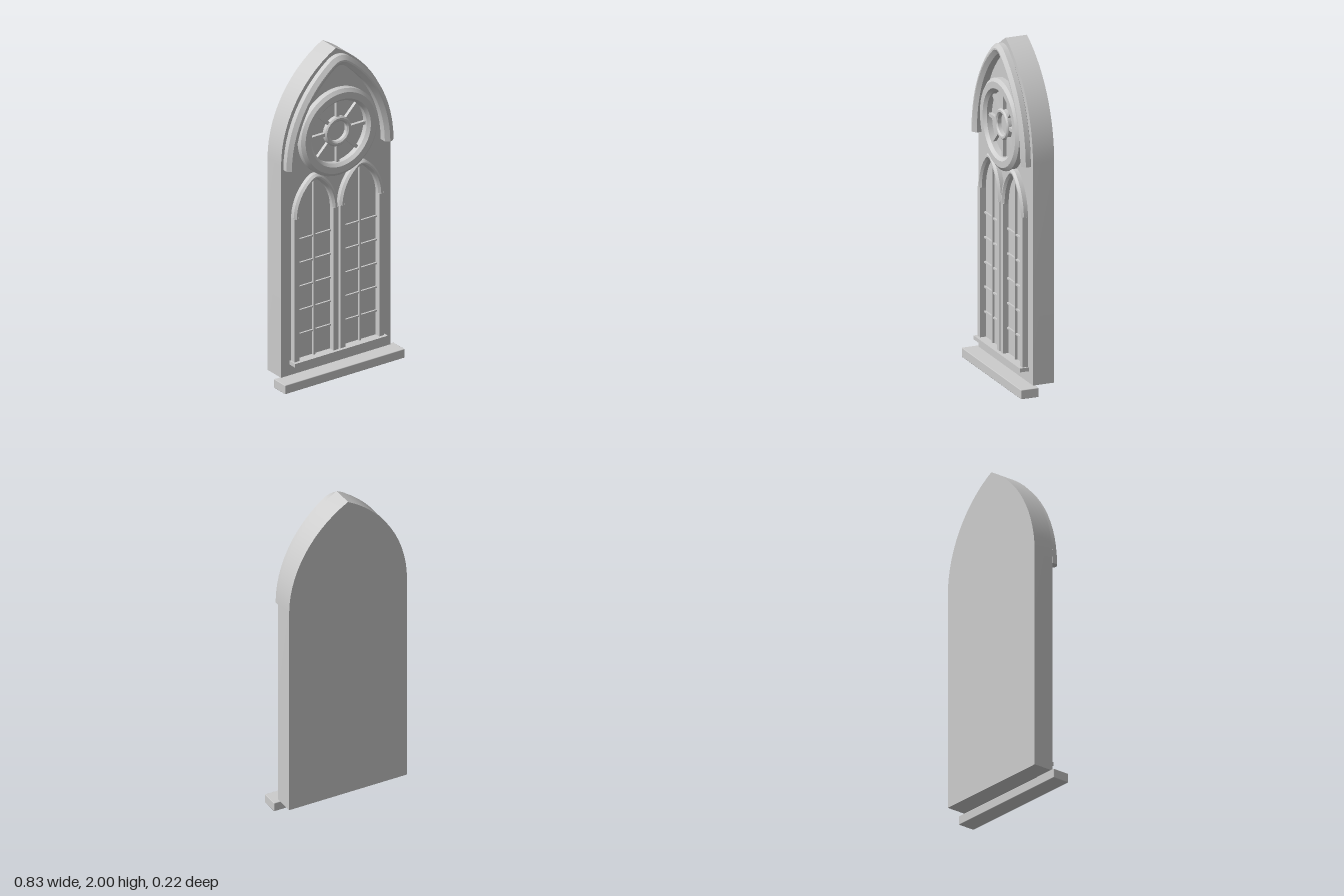
import * as THREE from 'three';
import { toCreasedNormals } from 'three/addons/utils/BufferGeometryUtils.js';
import { RoundedBoxGeometry } from 'three/addons/geometries/RoundedBoxGeometry.js';

const FACE = 0.02; // z of the wall's front face

// Points of a pointed arch from right foot over the crown to the left foot.
// The crown is rounded off where each arc has run the fraction f.
function archPath(cx, y0, half, rise, f, n = 12) {
  const R = (half * half + rise * rise) / (2 * half);
  const full = Math.asin(rise / R);
  const right = [];
  for (let i = 0; i <= n; i++) {
    const a = full * f * i / n;
    right.push([half - R + R * Math.cos(a), R * Math.sin(a)]);
  }
  const [ex, ey] = right[n];
  const crown = [];
  for (let i = 1; i < 6; i++) {
    const t = i / 6;
    crown.push([ex * (1 - 2 * t), ey + 2 * t * (1 - t) * (rise - ey)]);
  }
  const left = right.map(([x, y]) => [-x, y]).reverse();
  return [...right, ...crown, ...left].map(([x, y]) => new THREE.Vector2(cx + x, y0 + y));
}

// Sweep a closed profile of [outward offset, z] corners along a path in the xy plane
function sweep(path, profile) {
  const pos = [], idx = [], m = profile.length, n = path.length;
  path.forEach((p, i) => {
    const a = path[Math.max(i - 1, 0)], b = path[Math.min(i + 1, n - 1)];
    const t = b.clone().sub(a).normalize();
    if (i === 0 || i === n - 1) t.set(0, i === 0 ? 1 : -1);
    for (const [o, z] of profile) pos.push(p.x + t.y * o, p.y - t.x * o, z);
  });
  for (let i = 0; i < n - 1; i++) {
    for (let j = 0; j < m; j++) {
      const a = i * m + j, b = i * m + (j + 1) % m, c = b + m, d = a + m;
      idx.push(a, d, c, a, c, b);
    }
  }
  const e = (n - 1) * m;
  for (let j = 1; j < m - 1; j++) idx.push(0, j, j + 1, e, e + j + 1, e + j);
  const g = new THREE.BufferGeometry();
  g.setAttribute('position', new THREE.Float32BufferAttribute(pos, 3));
  g.setIndex(idx);
  return toCreasedNormals(g, 0.5);
}

export function createModel() {
  const stone = new THREE.MeshStandardMaterial({ color: 0xcccccc });
  stone.name = 'pale grey stone';
  const model = new THREE.Group();
  model.name = 'gothicWindow';

  const add = (name, geometry, parent = model) => {
    const mesh = new THREE.Mesh(geometry, stone);
    mesh.name = name;
    parent.add(mesh);
    return mesh;
  };
  // Box given by its limits
  const box = (name, x0, x1, y0, y1, z0, z1, parent) => {
    const b = add(name, new THREE.BoxGeometry(x1 - x0, y1 - y0, z1 - z0), parent);
    b.position.set((x0 + x1) / 2, (y0 + y1) / 2, (z0 + z1) / 2);
    return b;
  };

  // Wall slab with a pointed top
  const half = 0.378, spring = 1.37, rise = 2 - spring;
  const R = (half * half + rise * rise) / (2 * half), A = Math.asin(rise / R);
  const outline = new THREE.Shape();
  outline.moveTo(-half, 0.06);
  outline.lineTo(half, 0.06);
  outline.absarc(half - R, spring, R, 0, A, false);
  outline.absarc(R - half, spring, R, Math.PI - A, Math.PI, false);
  const wall = add('wall', toCreasedNormals(new THREE.ExtrudeGeometry(outline,
    { depth: FACE + 0.11, bevelEnabled: false, curveSegments: 7 }), 0.4));
  wall.position.z = -0.11;

  // Sills
  const sill = add('bottomSill', new RoundedBoxGeometry(0.826, 0.055, 0.108, 1, 0.004));
  sill.position.set(0, 0.0275, 0.054);
  box('windowSill', -0.32, 0.32, 0.127, 0.15, FACE, 0.075);

  // Hood moulding over the main arch
  add('hoodMoulding', sweep(archPath(0, 1.35, 0.34, 0.605, 0.92), [
    [0.005, 0.018], [0.03, 0.03], [0.03, 0.06], [0.005, 0.078],
    [-0.005, 0.078], [-0.03, 0.06], [-0.03, 0.018]]));

  // Rose window: rim, hub and spokes
  const rose = new THREE.Group();
  rose.name = 'roseWindow';
  rose.position.set(0, 1.492, 0);
  model.add(rose);
  const ring = (name, points) => {
    const g = new THREE.LatheGeometry(points.map(([r, z]) => new THREE.Vector2(r, z)), 40);
    g.rotateX(Math.PI / 2);
    add(name, toCreasedNormals(g, 0.5), rose);
  };
  ring('roseRim', [[0.265, 0.018], [0.265, 0.054], [0.245, 0.07], [0.207, 0.07], [0.19, 0.052], [0.19, 0.018]]);
  ring('roseHub', [[0.09, 0.018], [0.09, 0.042], [0.082, 0.05], [0.07, 0.05], [0.061, 0.042], [0.061, 0.018]]);
  for (let i = 0; i < 8; i++) {
    const g = new THREE.BoxGeometry(0.115, 0.02, 0.022);
    g.translate(0.142, 0, FACE + 0.009);
    add('roseSpoke', g, rose).rotation.z = i * Math.PI / 4;
  }

  // Twin lancets
  for (const side of [-1, 1]) {
    const lancet = new THREE.Group();
    lancet.name = side > 0 ? 'leftLancet' : 'rightLancet';
    lancet.position.x = side * 0.158;
    model.add(lancet);
    add('lancetArch', sweep(archPath(0, 1.03, 0.134, 0.235, 0.88, 10), [
      [0.017, 0.018], [0.017, 0.045], [0.005, 0.058],
      [-0.005, 0.058], [-0.017, 0.045], [-0.017, 0.018]]), lancet);
    for (const s of [-1, 1]) {
      box('jamb', s * 0.134 - 0.017, s * 0.134 + 0.017, 0.15, 1.035, FACE, 0.055, lancet);
    }
    box('uprightBar', -0.006, 0.006, 0.15, 1.235, FACE, 0.034, lancet);
    for (let i = 0; i < 5; i++) {
      const y = 0.3 + i * 0.1465;
      box('crossBar', -0.12, 0.12, y - 0.005, y + 0.005, FACE, 0.031, lancet);
    }
  }
  return model;
}
